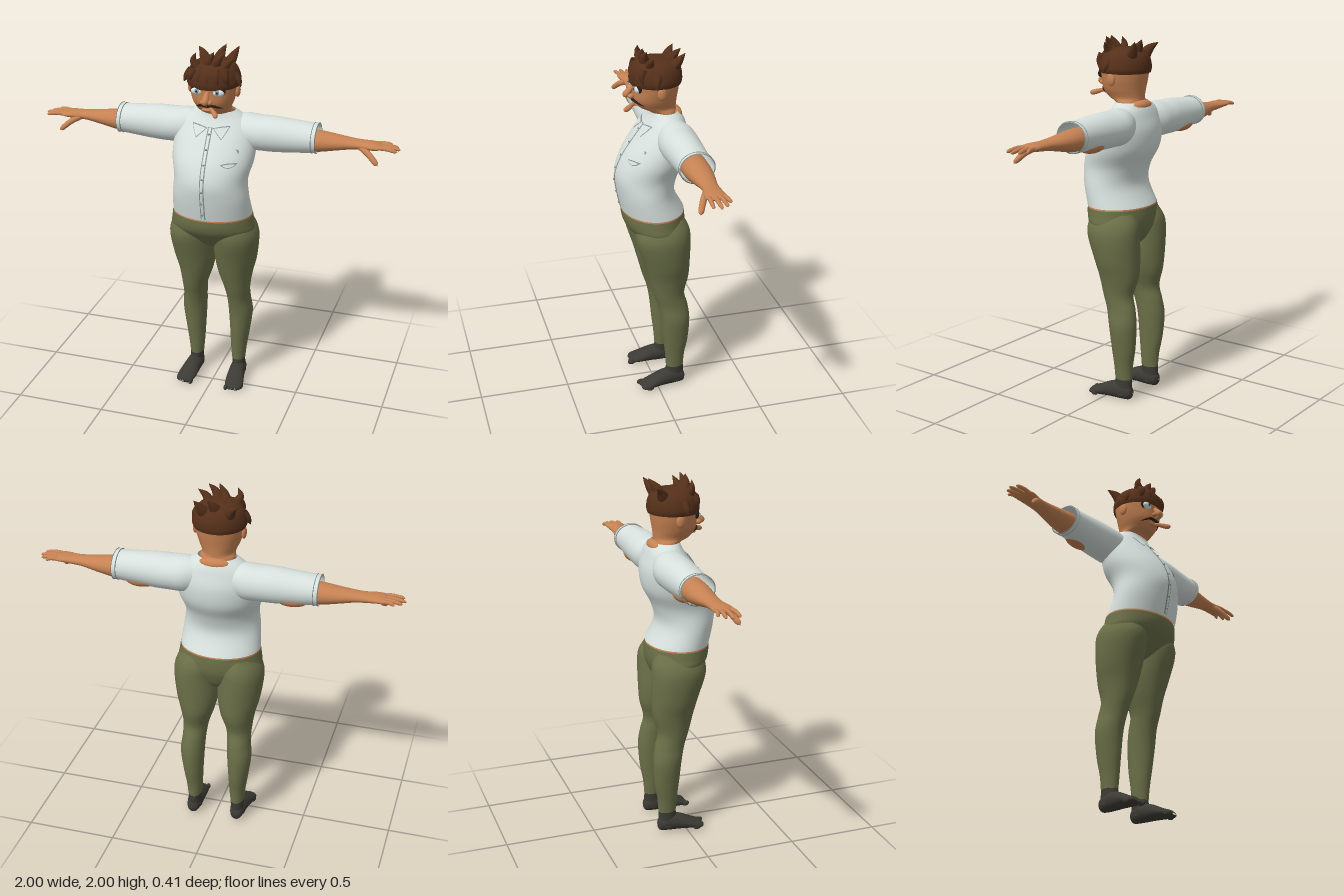
import * as THREE from 'three';

const mat = (name, color, side = THREE.FrontSide) =>
  Object.assign(new THREE.MeshStandardMaterial({ color, side }), { name });
const SHIRT = mat('shirt white', 0xd6e0dc, THREE.DoubleSide);
const TRIM = mat('shirt trim grey', 0x8b9492, THREE.DoubleSide);
const PANTS = mat('trouser olive', 0x6b7048, THREE.DoubleSide);
const SKIN = mat('skin', 0xc68253);
const HAIR = mat('hair brown', 0x55301a, THREE.DoubleSide);
const SOCK = mat('sock charcoal', 0x3b3a34);
const WHITE = mat('eye white', 0xe4ecee);
const IRIS = mat('iris blue grey', 0x7d9cab);
const DARK = mat('dark brown', 0x2b1c15, THREE.DoubleSide);

// Smooth rows between sections [t, c1, c2, r1, r2]
function smoothRows(secs, steps = 6) {
  const rows = [], last = secs.length - 1, at = (i) => secs[Math.min(last, Math.max(0, i))];
  for (let i = 0; i < last; i++) {
    for (let s = 0; s < steps; s++) {
      const f = s / steps, f2 = f * f, f3 = f2 * f;
      rows.push(at(i).map((b, k) => {
        const a = at(i - 1)[k], c = at(i + 1)[k], d = at(i + 2)[k];
        return 0.5 * (2 * b + (c - a) * f + (2 * a - 5 * b + 4 * c - d) * f2 + (3 * b - a - 3 * c + d) * f3);
      }));
    }
  }
  rows.push(at(last));
  return rows;
}

// Elliptical loft along an axis: y uses (x, z), x uses (z, y), z uses (y, x)
function loft(secs, axis = 'y', n = 36) {
  const rows = smoothRows(secs), pos = [], idx = [];
  for (const [t, c1, c2, r1, r2] of rows) {
    for (let j = 0; j < n; j++) {
      const a = (j / n) * Math.PI * 2;
      const u = c1 + r1 * Math.sin(a), v = c2 + r2 * Math.cos(a);
      pos.push(...(axis === 'y' ? [u, t, v] : axis === 'x' ? [t, v, u] : [v, u, t]));
    }
  }
  for (let i = 0; i < rows.length - 1; i++) {
    for (let j = 0; j < n; j++) {
      const a = i * n + j, b = i * n + (j + 1) % n;
      idx.push(a, b, b + n, a, b + n, a + n);
    }
  }
  const g = new THREE.BufferGeometry();
  g.setAttribute('position', new THREE.Float32BufferAttribute(pos, 3));
  g.setIndex(idx);
  g.computeVertexNormals();
  return g;
}

// Tube through points whose radius follows a profile
function taper(points, r, profile, rings = 12, n = 10) {
  const curve = new THREE.CatmullRomCurve3(points.map((p) => new THREE.Vector3(...p)));
  const g = new THREE.TubeGeometry(curve, rings, r, n), p = g.attributes.position, v = new THREE.Vector3();
  for (let i = 0; i < p.count; i++) {
    const t = Math.floor(i / (n + 1)) / rings, c = curve.getPointAt(t);
    v.fromBufferAttribute(p, i).sub(c).multiplyScalar(profile(t)).add(c);
    p.setXYZ(i, v.x, v.y, v.z);
  }
  g.computeVertexNormals();
  return g;
}
const spikeProfile = (t) => 1 - t * t * 0.7 - t * 0.3;
const fingerProfile = (t) => (t < 0.75 ? 1 - t * 0.2 : 0.85 * Math.sqrt(Math.max(0, 1 - ((t - 0.75) / 0.25) ** 2)));
const blob = (x, y, z, rx, ry, rz) => new THREE.SphereGeometry(1, 24, 16).scale(rx, ry, rz).translate(x, y, z);

// Front surface height of a loft, used to lay thin details on it
function frontOf(rows, x, y) {
  let i = 0;
  while (i < rows.length - 2 && rows[i + 1][0] < y) i++;
  const f = THREE.MathUtils.clamp((y - rows[i][0]) / (rows[i + 1][0] - rows[i][0]), 0, 1);
  const [, cx, cz, rx, rz] = rows[i].map((v, k) => v + (rows[i + 1][k] - v) * f);
  return cz + rz * Math.sqrt(Math.max(0, 1 - ((x - cx) / rx) ** 2));
}
function drape(g, rows, lift) {
  const p = g.attributes.position;
  for (let i = 0; i < p.count; i++) p.setZ(i, frontOf(rows, p.getX(i), p.getY(i)) + lift);
  g.computeVertexNormals();
  return g;
}
const polygon = (pts) => new THREE.ShapeGeometry(new THREE.Shape(pts.map((p) => new THREE.Vector2(...p))));

function mirrored(g) {
  const m = g.clone().scale(-1, 1, 1), ix = m.index.array;
  for (let i = 0; i < ix.length; i += 3) [ix[i], ix[i + 1]] = [ix[i + 1], ix[i]];
  return m;
}

export function createModel() {
  const model = new THREE.Group();
  model.name = 'standingMan';
  const add = (name, g, m) => {
    const mesh = new THREE.Mesh(g, m);
    mesh.name = name;
    model.add(mesh);
  };
  const pair = (name, g, m) => {
    add('left' + name, g, m);
    add('right' + name, mirrored(g), m);
  };

  // Shirt body
  const torso = [
    [1.088, 0, -0.004, 0.222, 0.17], [1.2, 0, 0.035, 0.212, 0.155], [1.3, 0, 0.03, 0.203, 0.17],
    [1.4, 0, -0.012, 0.225, 0.178], [1.5, 0, -0.05, 0.225, 0.15], [1.58, 0, -0.07, 0.2, 0.11],
    [1.625, 0, -0.075, 0.15, 0.088], [1.652, 0, -0.068, 0.105, 0.075]];
  const torsoRows = smoothRows(torso);
  add('shirtBody', loft(torso, 'y', 48), SHIRT);
  add('waistSkin', loft([[1.02, 0, -0.008, 0.21, 0.155], [1.07, 0, -0.004, 0.22, 0.168], [1.1, 0, -0.002, 0.215, 0.164]]), SKIN);

  // Sleeves, cuff trims and the elbow skin showing beneath
  pair('Sleeve', loft([
    [0.08, -0.085, 1.54, 0.075, 0.085], [0.16, -0.09, 1.535, 0.1, 0.098], [0.24, -0.088, 1.533, 0.105, 0.096],
    [0.32, -0.088, 1.533, 0.1, 0.096], [0.43, -0.088, 1.533, 0.093, 0.088], [0.555, -0.088, 1.535, 0.088, 0.077]], 'x'), SHIRT);
  for (const x of [0.53, 0.552]) {
    pair('CuffTrim', loft([[x, -0.088, 1.535, 0.089, 0.078], [x + 0.002, -0.088, 1.535, 0.094, 0.083],
      [x + 0.005, -0.088, 1.535, 0.089, 0.078]], 'x'), TRIM);
  }
  pair('CuffBand', loft([[0.533, -0.088, 1.535, 0.091, 0.08], [0.554, -0.088, 1.535, 0.091, 0.08]], 'x'), SHIRT);
  pair('Elbow', blob(0.41, 1.478, -0.11, 0.095, 0.042, 0.055), SKIN);

  // Forearms, palms, fingers and thumbs
  pair('Forearm', loft([
    [0.46, -0.09, 1.52, 0.07, 0.06], [0.56, -0.09, 1.52, 0.068, 0.057], [0.65, -0.09, 1.523, 0.058, 0.043],
    [0.74, -0.087, 1.527, 0.045, 0.029], [0.79, -0.085, 1.528, 0.044, 0.025], [0.85, -0.08, 1.53, 0.052, 0.021],
    [0.89, -0.082, 1.53, 0.05, 0.014], [0.908, -0.082, 1.53, 0.02, 0.003]], 'x'), SKIN);
  [[-0.118, 0.945, -0.136], [-0.095, 0.982, -0.108], [-0.07, 0.998, -0.075], [-0.045, 0.985, -0.036]].forEach(([z, tx, tz]) =>
    pair('Finger', taper([[0.86, 1.53, z], [0.92, 1.533, (z + tz) / 2], [tx, 1.523, tz]], 0.012, fingerProfile), SKIN));
  pair('Thumb', taper([[0.79, 1.522, -0.06], [0.84, 1.495, -0.028], [0.892, 1.45, 0]], 0.018, fingerProfile), SKIN);

  // Trousers
  add('trouserSeat', loft([
    [0.86, 0, -0.05, 0.04, 0.05], [0.9, 0, -0.04, 0.12, 0.1], [0.96, 0, -0.025, 0.215, 0.142],
    [1.0, 0, -0.014, 0.235, 0.162], [1.04, 0, -0.008, 0.23, 0.17], [1.08, 0, -0.005, 0.224, 0.17]], 'y', 48), PANTS);
  pair('TrouserLeg', loft([
    [0.12, 0.127, -0.105, 0.038, 0.05], [0.2, 0.128, -0.105, 0.046, 0.056], [0.3, 0.133, -0.108, 0.056, 0.07],
    [0.43, 0.137, -0.105, 0.068, 0.08], [0.52, 0.13, -0.09, 0.066, 0.084], [0.6, 0.125, -0.068, 0.072, 0.088],
    [0.7, 0.116, -0.066, 0.096, 0.114], [0.8, 0.119, -0.055, 0.118, 0.13], [0.93, 0.126, -0.036, 0.126, 0.15],
    [1.0, 0.12, -0.033, 0.118, 0.146], [1.06, 0.11, -0.03, 0.09, 0.12]]), PANTS);
  pair('AnkleSkin', loft([[0.11, 0.127, -0.105, 0.036, 0.048], [0.13, 0.127, -0.105, 0.036, 0.048]]), SKIN);

  // Socked feet with toes
  pair('Ankle', loft([[0.03, 0.13, -0.1, 0.042, 0.056], [0.08, 0.128, -0.103, 0.037, 0.053], [0.119, 0.127, -0.105, 0.037, 0.049]]), SOCK);
  pair('Foot', loft([
    [-0.164, 0.04, 0.13, 0.004, 0.004], [-0.15, 0.042, 0.13, 0.036, 0.03], [-0.1, 0.05, 0.13, 0.05, 0.043],
    [-0.03, 0.045, 0.135, 0.045, 0.048], [0.04, 0.029, 0.143, 0.029, 0.053], [0.085, 0.02, 0.148, 0.02, 0.045],
    [0.1, 0.018, 0.15, 0.004, 0.02]], 'z'), SOCK);
  for (let i = 0; i < 5; i++) pair('Toe', blob(0.107 + i * 0.02, 0.017, 0.091 - i * 0.009, 0.012, 0.016, 0.023), SOCK);

  // Placket, buttons, collar and pocket
  add('placket', drape(new THREE.PlaneGeometry(0.026, 0.48, 2, 40).translate(0, 1.34, 0), torsoRows, 0.004), TRIM);
  add('placketFace', drape(new THREE.PlaneGeometry(0.014, 0.475, 2, 40).translate(0, 1.34, 0), torsoRows, 0.007), SHIRT);
  for (let i = 0; i < 7; i++) {
    const y = 1.13 + i * 0.07;
    add('button', blob(0, y, frontOf(torsoRows, 0, y) + 0.008, 0.006, 0.006, 0.004), TRIM);
  }
  pair('CollarEdge', drape(polygon([[0.015, 1.578], [0.06, 1.588], [0.105, 1.592], [0.09, 1.56], [0.07, 1.527], [0.042, 1.552]]), torsoRows, 0.006), TRIM);
  pair('Collar', drape(polygon([[0.021, 1.577], [0.06, 1.584], [0.099, 1.588], [0.086, 1.56], [0.07, 1.533], [0.045, 1.555]]), torsoRows, 0.01), SHIRT);
  add('pocketEdge', drape(polygon([[0.085, 1.416], [0.125, 1.422], [0.17, 1.42], [0.155, 1.404], [0.13, 1.396], [0.105, 1.402]]), torsoRows, 0.005), TRIM);
  add('pocket', drape(polygon([[0.097, 1.414], [0.125, 1.418], [0.16, 1.416], [0.15, 1.406], [0.13, 1.401], [0.108, 1.405]]), torsoRows, 0.008), SHIRT);
  add('chestMark', drape(polygon([[0.15, 1.485], [0.168, 1.478], [0.166, 1.462]]), torsoRows, 0.006), TRIM);

  // Head and neck
  const head = [
    [1.6, 0, -0.07, 0.1, 0.07], [1.65, 0, -0.06, 0.094, 0.073], [1.675, 0, -0.032, 0.09, 0.1],
    [1.72, 0, -0.018, 0.11, 0.118], [1.78, 0, -0.02, 0.127, 0.125], [1.84, 0, -0.02, 0.13, 0.13], [1.9, 0, -0.02, 0.1, 0.11]];
  const headRows = smoothRows(head);
  add('head', loft(head), SKIN);
  add('nape', blob(0, 1.632, -0.125, 0.085, 0.03, 0.038), SKIN);
  add('nose', taper([[0, 1.8, 0.095], [0, 1.77, 0.118], [0, 1.748, 0.138], [0, 1.735, 0.15]], 0.022,
    (t) => (0.45 + 0.65 * t) * Math.sqrt(Math.max(0, 1 - t ** 6))), SKIN);
  pair('Nostril', blob(0.018, 1.742, 0.115, 0.015, 0.013, 0.018), SKIN);
  pair('Ear', blob(0.13, 1.778, -0.025, 0.014, 0.036, 0.024), SKIN);
  add('lowerLip', blob(0, 1.692, 0.088, 0.035, 0.009, 0.014), SKIN);

  // Eyes
  pair('EyeRim', blob(0.057, 1.797, 0.083, 0.039, 0.026, 0.018), DARK);
  pair('Eyeball', blob(0.057, 1.793, 0.087, 0.035, 0.022, 0.021), WHITE);
  pair('Iris', blob(0.056, 1.795, 0.103, 0.013, 0.013, 0.007), IRIS);
  pair('Pupil', blob(0.056, 1.795, 0.107, 0.006, 0.006, 0.005), DARK);

  // Moustache and the rolled smoke in the mouth
  const lip = (x, y) => [x, y, frontOf(headRows, x, y) + 0.003];
  pair('Moustache', taper([lip(0, 1.718), lip(0.03, 1.719), lip(0.055, 1.709), lip(0.075, 1.697)], 0.009, spikeProfile), DARK);
  add('smoke', taper([[0.015, 1.703, 0.09], [0.035, 1.698, 0.115], [0.055, 1.69, 0.14], [0.068, 1.684, 0.166]], 0.019,
    (t) => (0.4 + 0.6 * t) * Math.sqrt(Math.max(0, 1 - t ** 5))), SKIN);

  // Hair cap and swept spikes
  add('hairCap', loft([
    [1.805, 0, -0.022, 0.138, 0.136], [1.83, 0, -0.022, 0.145, 0.141], [1.87, 0, -0.022, 0.137, 0.137],
    [1.905, 0, -0.022, 0.118, 0.12], [1.93, 0, -0.022, 0.08, 0.085], [1.94, 0, -0.022, 0.002, 0.002]]), HAIR);
  [
    [[-0.06, 1.89, 0.04], [-0.09, 1.945, 0.05], [-0.075, 1.985, 0.055], 0.03],
    [[-0.02, 1.9, 0.03], [0, 1.955, 0.05], [0.025, 1.998, 0.055], 0.034],
    [[0.02, 1.9, 0.03], [0.04, 1.95, 0.05], [0.08, 1.995, 0.045], 0.034],
    [[0.06, 1.89, 0.02], [0.09, 1.935, 0.03], [0.13, 1.97, 0.02], 0.03],
    [[-0.06, 1.88, -0.09], [-0.09, 1.93, -0.12], [-0.125, 1.96, -0.15], 0.036],
    [[0, 1.89, -0.08], [0.01, 1.94, -0.115], [0.03, 1.985, -0.15], 0.036],
    [[0.05, 1.88, -0.09], [0.075, 1.93, -0.125], [0.1, 1.98, -0.155], 0.036],
  ].forEach(([a, b, c, r]) => add('hairSpike', taper([a, b, c], r, spikeProfile), HAIR));
  pair('SideTuft', taper([[0.115, 1.87, 0], [0.142, 1.84, 0.005], [0.157, 1.808, 0.01]], 0.028, spikeProfile), HAIR);
  for (let i = -2; i <= 2; i++) {
    add('fringe', taper([[i * 0.04, 1.9, 0.065], [i * 0.046, 1.87, 0.1 - i * i * 0.006], [i * 0.05 + 0.01, 1.82, 0.116 - i * i * 0.012]], 0.026, spikeProfile), HAIR);
  }

  return model;
}
